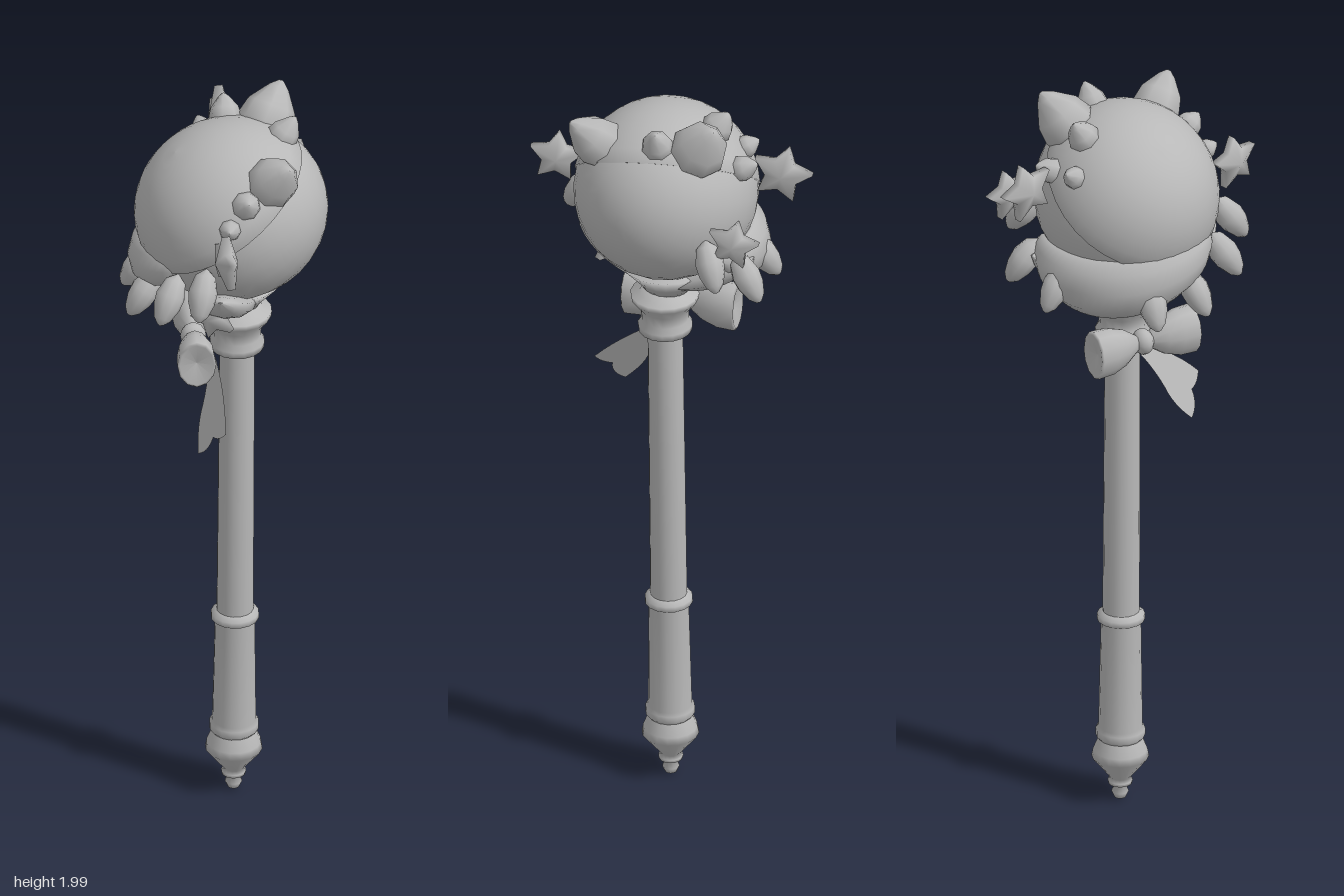
import * as THREE from 'three';
import { mergeVertices } from 'three/addons/utils/BufferGeometryUtils.js';

const UP = new THREE.Vector3(0, 1, 0);
const V = (x, y, z) => new THREE.Vector3(x, y, z);
const CENTER = V(0.013, 1.717, 0.015);
const R = 0.235;

export function createModel() {
  const model = new THREE.Group();
  const grey = new THREE.MeshStandardMaterial({ color: 0xb8b8b8 });
  grey.name = 'stoneGrey';
  grey.side = THREE.DoubleSide;

  function add(name, geometry, position, parent = model) {
    const mesh = new THREE.Mesh(geometry, grey);
    mesh.name = name;
    if (position) mesh.position.copy(position);
    parent.add(mesh);
    return mesh;
  }
  const lathe = (pts, sides) =>
    new THREE.LatheGeometry(pts.map(([r, y]) => new THREE.Vector2(r, y)), sides);
  const aim = (obj, dir) => obj.quaternion.setFromUnitVectors(UP, dir.clone().normalize());

  // Tapering tube through rings; ring(t) gives centre, two cross directions and half sizes
  function taperedTube(rings, sides, ring) {
    const pos = [], idx = [];
    for (let i = 0; i <= rings; i++) {
      const { c, u, v, a, b } = ring(i / rings * 2 - 1);
      for (let j = 0; j < sides; j++) {
        const q = j / sides * Math.PI * 2;
        const p = c.clone().addScaledVector(u, a * Math.cos(q)).addScaledVector(v, b * Math.sin(q));
        pos.push(p.x, p.y, p.z);
        if (i < rings) {
          const m = i * sides + j, n = i * sides + (j + 1) % sides;
          idx.push(m, n, m + sides, n, n + sides, m + sides);
        }
      }
    }
    const g = new THREE.BufferGeometry();
    g.setAttribute('position', new THREE.Float32BufferAttribute(pos, 3));
    g.setIndex(idx);
    g.computeVertexNormals();
    return g;
  }

  // Staff, leaning very slightly
  const sections = {
    pommel: [[0, 0], [0.015, 0.004], [0.022, 0.02], [0.015, 0.038], [0.03, 0.043], [0.032, 0.052],
      [0.025, 0.06], [0.073, 0.12], [0.069, 0.14], [0.056, 0.172]],
    grip: [[0.056, 0.172], [0.063, 0.18], [0.063, 0.198], [0.056, 0.206], [0.051, 0.5],
      [0.061, 0.507], [0.061, 0.522], [0.047, 0.532]],
    shaft: [[0.047, 0.532], [0.045, 1.305]],
    collar: [[0.045, 1.305], [0.068, 1.312], [0.07, 1.33], [0.06, 1.345], [0.062, 1.375],
      [0.086, 1.405], [0.088, 1.42], [0.065, 1.424], [0.05, 1.45], [0, 1.46]],
  };
  for (const [name, pts] of Object.entries(sections))
    add(name, lathe(pts, 16), V(0.004, 0, 0.003)).rotation.z = -0.0115;

  // Small cup and a crescent cradle that curves up diagonally on both sides of the ball
  add('cup', lathe([[0, 1.43], [0.055, 1.43], [0.075, 1.46], [0.12, 1.51], [0, 1.52]], 20), V(0.014, 0, 0.005));
  const along = V(Math.SQRT1_2, 0, Math.SQRT1_2), across = V(Math.SQRT1_2, 0, -Math.SQRT1_2);
  add('crescentCradle', taperedTube(24, 10, (t) => {
    const c = along.clone().multiplyScalar(t * 0.25).setY(1.48 + 0.105 * t * t);
    const u = along.clone().multiplyScalar(-0.8 * t).setY(1).normalize();
    const k = Math.sqrt(Math.max(0.002, 1 - t ** 4));
    return { c, u, v: across, a: 0.036 * k, b: 0.07 * k };
  }), V(0.012, 0, 0.01));

  // Ball, slightly stretched along a tilted axis, with a raised cap facing up and forward
  const head = new THREE.Group();
  head.name = 'head';
  head.position.copy(CENTER);
  aim(head, V(0.66, 0.35, -0.66));
  head.scale.set(0.99, 1.045, 0.99);
  model.add(head);
  add('ball', new THREE.SphereGeometry(R, 28, 18), null, head);
  const capProfile = Array.from({ length: 11 }, (_, i) => {
    const a = Math.min(i, 9) / 9 * 1.42, r = i === 10 ? R - 0.01 : R + 0.004;
    return [r * Math.sin(a), r * Math.cos(a)];
  }).reverse();
  const cap = add('cap', lathe(capProfile, 32), null, head);
  aim(cap, V(-0.25, 0.78, 0.55).applyQuaternion(head.quaternion.clone().invert()));

  // Bulging lip wrapping the lower left of the ball
  add('lip', taperedTube(32, 10, (t) => {
    const a = 2.8 + t * 1.5, k = Math.sqrt(Math.max(0.002, 1 - t * t));
    const u = V(Math.cos(a), 0, Math.sin(a));
    return { c: V(0.205 * u.x, 0.06 * u.x, 0.205 * u.z), u, v: UP, a: 0.06 * k, b: 0.085 * k };
  }), V(0.008, 1.615, 0.015));

  // Claws hanging outward below the ball, given by their tips
  const clawShape = lathe([[0, -0.14], [0.026, -0.12], [0.037, -0.08], [0.034, -0.05], [0.022, -0.018],
    [0.008, -0.003], [0, 0]], 10);
  const claws = [[-0.2, 1.46, 0.2], [-0.07, 1.46, 0.28], [0.085, 1.51, 0.3], [0.2, 1.56, 0.265],
    [-0.03, 1.575, -0.29], [-0.16, 1.495, -0.235], [-0.255, 1.48, -0.09]];
  for (const [x, y, z] of claws) {
    const out = V(x, 0, z).normalize();
    aim(add('claw', clawShape, V(x, y, z)), V(out.x * 0.55, -0.8, out.z * 0.55));
  }

  // Spikes along the back edge of the cap: x, z, radius, height
  const spikeShape = lathe([[0, -0.5], [0.8, -0.4], [1, 0], [0.85, 0.4], [0.35, 0.85], [0.1, 1], [0, 1.02]], 8);
  const spikes = [[-0.03, -0.125, 0.074, 0.112], [0.185, 0.02, 0.066, 0.106], [0.07, -0.1, 0.042, 0.065],
    [-0.1, -0.05, 0.042, 0.058], [-0.18, -0.04, 0.03, 0.04], [-0.145, -0.12, 0.034, 0.05],
    [0.19, 0.105, 0.037, 0.046], [0.188, 0.155, 0.028, 0.036]];
  for (const [x, z, r, h] of spikes) {
    const dx = x - CENTER.x, dz = z - CENTER.z;
    const dir = V(dx, Math.sqrt(Math.max(0.0005, R * R - dx * dx - dz * dz)), dz);
    const spike = add('spike', spikeShape, CENTER.clone().add(dir));
    spike.scale.set(r, h, r);
    aim(spike, dir);
  }

  // Puffed five-pointed stars: position, size, turn and roll
  function starGeometry(r, depth) {
    const pos = [];
    const pt = (i) => {
      const a = (i % 10) * Math.PI / 5 + Math.PI / 2, q = i % 2 ? r * 0.54 : r;
      return [q * Math.cos(a), q * Math.sin(a)];
    };
    for (let i = 0; i < 10; i++) {
      const [ax, ay] = pt(i), [bx, by] = pt(i + 1), e = depth * 0.35;
      pos.push(0, 0, depth, ax, ay, e, bx, by, e, 0, 0, -depth, bx, by, -e, ax, ay, -e);
      pos.push(ax, ay, e, ax, ay, -e, bx, by, e, bx, by, e, ax, ay, -e, bx, by, -e);
    }
    const g = new THREE.BufferGeometry();
    g.setAttribute('position', new THREE.Float32BufferAttribute(pos, 3));
    const smooth = mergeVertices(g);
    smooth.computeVertexNormals();
    return smooth;
  }
  const stars = [[-0.245, 1.81, -0.145, 0.08, -0.45, 0.25], [-0.08, 1.7, -0.268, 0.068, -0.5, 0.2],
    [0.245, 1.74, 0.21, 0.072, -0.38, 0.1], [0.11, 1.495, 0.15, 0.062, 0.4, 0.5]];
  for (const [x, y, z, r, turn, roll] of stars)
    add('star', starGeometry(r, 0.03), V(x, y, z)).rotation.set(0, turn, roll);

  // Bow: two flared loops around a knot
  const bow = new THREE.Group();
  bow.name = 'bow';
  bow.position.set(-0.05, 1.34, 0.09);
  bow.rotation.y = -0.59;
  model.add(bow);
  const loopShape = lathe([[0, 0], [0.022, 0.005], [0.05, 0.045], [0.064, 0.085], [0.066, 0.13],
    [0.058, 0.134], [0, 0.12]], 12);
  for (const side of [-1, 1]) {
    const loop = add('bowLoop', loopShape, V(side * 0.015, 0, 0), bow);
    loop.rotation.z = -side * Math.PI / 2;
    loop.scale.z = 0.75;
  }
  add('bowKnot', new THREE.SphereGeometry(0.03, 12, 8), null, bow).scale.set(0.9, 1.15, 1.1);

  // Ribbon tail with a notched end, slanting forward as it falls
  const outline = new THREE.Shape();
  outline.moveTo(-0.03, 1.31);
  outline.lineTo(0.02, 1.29);
  outline.quadraticCurveTo(0.11, 1.24, 0.163, 1.17);
  outline.quadraticCurveTo(0.145, 1.145, 0.115, 1.14);
  outline.quadraticCurveTo(0.115, 1.1, 0.075, 1.08);
  outline.quadraticCurveTo(0.03, 1.13, 0.025, 1.18);
  outline.quadraticCurveTo(0.01, 1.25, -0.03, 1.31);
  const tail = new THREE.ShapeGeometry(outline, 6);
  const p = tail.attributes.position;
  for (let i = 0; i < p.count; i++) p.setZ(i, 0.065 + (1.29 - p.getY(i)) * 0.43 + p.getX(i) * 0.2);
  tail.computeVertexNormals();
  add('ribbonTail', tail);

  return model;
}
